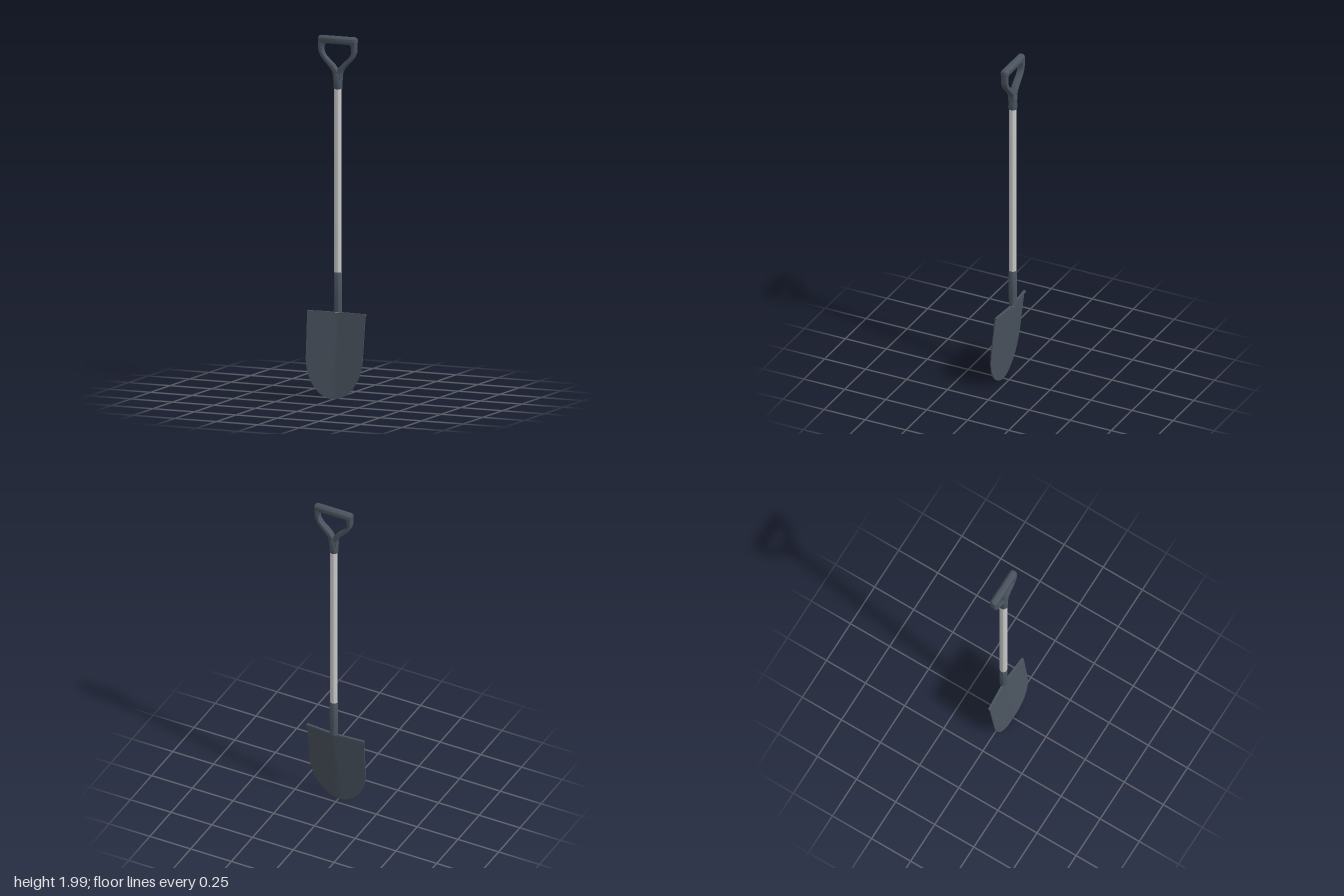
import * as THREE from 'three';
import { toCreasedNormals } from 'three/addons/utils/BufferGeometryUtils.js';

const AXIS_Z = -0.022; // shaft axis
const darkMat = new THREE.MeshStandardMaterial({ color: 0x4a535e });
const greyMat = new THREE.MeshStandardMaterial({ color: 0xcccccc });

function addMesh(group, name, geometry, material) {
  const mesh = new THREE.Mesh(geometry, material);
  mesh.name = name;
  group.add(mesh);
  return mesh;
}

// Turned part on the shaft axis from [radius, height] points
function addTurned(group, name, profile, material) {
  const points = profile.map(([r, y]) => new THREE.Vector2(r, y));
  const geometry = toCreasedNormals(new THREE.LatheGeometry(points, 32), 0.6);
  const mesh = addMesh(group, name, geometry, material);
  mesh.position.z = AXIS_Z;
  return mesh;
}

// Closed plate: each row is a loop along the front and back again along the rear
function plate(front, back, cols, rows) {
  const positions = [], index = [], ring = 2 * (cols + 1);
  for (let j = 0; j <= rows; j++) {
    for (let i = 0; i <= cols; i++) positions.push(...front(i / cols * 2 - 1, j / rows));
    for (let i = cols; i >= 0; i--) positions.push(...back(i / cols * 2 - 1, j / rows));
  }
  const quad = (a, b, c, d) => index.push(a, b, c, a, c, d);
  for (let j = 0; j < rows; j++) {
    for (let i = 0; i < ring; i++) {
      const n = (i + 1) % ring;
      quad(j * ring + i, (j + 1) * ring + i, (j + 1) * ring + n, j * ring + n);
    }
  }
  const end = rows * ring;
  for (let i = 0; i < cols; i++) {
    const k = ring - 1 - i;
    quad(i, i + 1, k - 1, k);
    quad(end + i, end + k, end + k - 1, end + i + 1);
  }
  const geometry = new THREE.BufferGeometry();
  geometry.setAttribute('position', new THREE.Float32BufferAttribute(positions, 3));
  geometry.setIndex(index);
  return toCreasedNormals(geometry, 0.7);
}

// Blade front: leans forward towards the tip, dished about a soft centre crease
const TOP = 0.478, TIP = 0.006, ROUND = 0.24;
function bladeZ(x, y) {
  const lean = 0.041 - 0.053 * (y / TOP);
  return lean + 0.012 * (Math.sqrt(x * x + 0.0001) - 0.01) / 0.165;
}
function bladeWidth(y) {
  if (y >= ROUND) return 0.171 + 0.004 * (y - ROUND) / (TOP - ROUND);
  const u = (ROUND - y) / (ROUND - TIP);
  return 0.171 * Math.sqrt(Math.max(0, 1 - u * u));
}
function bladePoint(s, v, offset) {
  const y = TIP + (TOP - TIP) * Math.pow(1 - v, 1.7);
  const x = s * bladeWidth(y);
  return [x, y, bladeZ(x, y) - offset];
}

// D-shaped yoke between socket and grip
function yokeGeometry() {
  const shape = new THREE.Shape();
  shape.moveTo(-0.02, 1.76);
  shape.lineTo(0.02, 1.76);
  shape.lineTo(0.022, 1.79);
  shape.bezierCurveTo(0.03, 1.84, 0.1, 1.86, 0.109, 1.925);
  shape.lineTo(0.109, 1.975);
  shape.lineTo(-0.109, 1.975);
  shape.lineTo(-0.109, 1.925);
  shape.bezierCurveTo(-0.1, 1.86, -0.03, 1.84, -0.022, 1.79);
  const hole = new THREE.Path();
  hole.moveTo(0, 1.8);
  hole.bezierCurveTo(-0.02, 1.86, -0.09, 1.87, -0.09, 1.925);
  hole.quadraticCurveTo(-0.09, 1.95, -0.078, 1.961);
  hole.lineTo(0.078, 1.961);
  hole.quadraticCurveTo(0.09, 1.95, 0.09, 1.925);
  hole.bezierCurveTo(0.09, 1.87, 0.02, 1.86, 0, 1.8);
  shape.holes.push(hole);
  const geometry = new THREE.ExtrudeGeometry(shape, {
    depth: 0.026, curveSegments: 16, bevelEnabled: true,
    bevelThickness: 0.005, bevelSize: 0.003, bevelSegments: 3,
  });
  geometry.translate(0, 0, AXIS_Z - 0.013);
  return toCreasedNormals(geometry, 0.7);
}

export function createModel() {
  const model = new THREE.Group();
  model.name = 'spade';

  // Blade with its folded foot rest
  addMesh(model, 'blade', plate(
    (s, v) => bladePoint(s, v, 0),
    (s, v) => bladePoint(s, v, 0.006), 32, 36), darkMat);
  const lip = (s, y, offset) => {
    const x = s * 0.175;
    return [x, y, bladeZ(x, TOP) - offset];
  };
  addMesh(model, 'footRest', plate(
    (s, v) => lip(s, 0.479 - 0.01 * v, 0),
    (s, v) => lip(s, 0.479 - 0.01 * v, 0.013), 32, 1), darkMat);

  // Shaft, showing at the lower end of the blade socket
  addTurned(model, 'shaft', [[0, 0.472], [0.014, 0.474], [0.019, 0.482], [0.0205, 0.5],
    [0.0205, 1.73], [0, 1.73]], greyMat);
  addTurned(model, 'bladeSocket', [[0.018, 0.48], [0.0215, 0.48], [0.0225, 0.55],
    [0.0225, 0.695], [0.0215, 0.698], [0.019, 0.698]], darkMat);

  // Handle
  addTurned(model, 'handleSocket', [[0.019, 1.71], [0.024, 1.71], [0.025, 1.714],
    [0.0235, 1.785], [0.02, 1.795], [0, 1.797]], darkMat);
  addMesh(model, 'yoke', yokeGeometry(), darkMat);
  const grip = addTurned(model, 'grip', [[0, -0.114], [0.014, -0.114], [0.019, -0.111],
    [0.0225, -0.102], [0.0225, 0.102], [0.019, 0.111], [0.014, 0.114], [0, 0.114]], darkMat);
  grip.rotation.z = Math.PI / 2;
  grip.position.y = 1.9775;

  return model;
}
